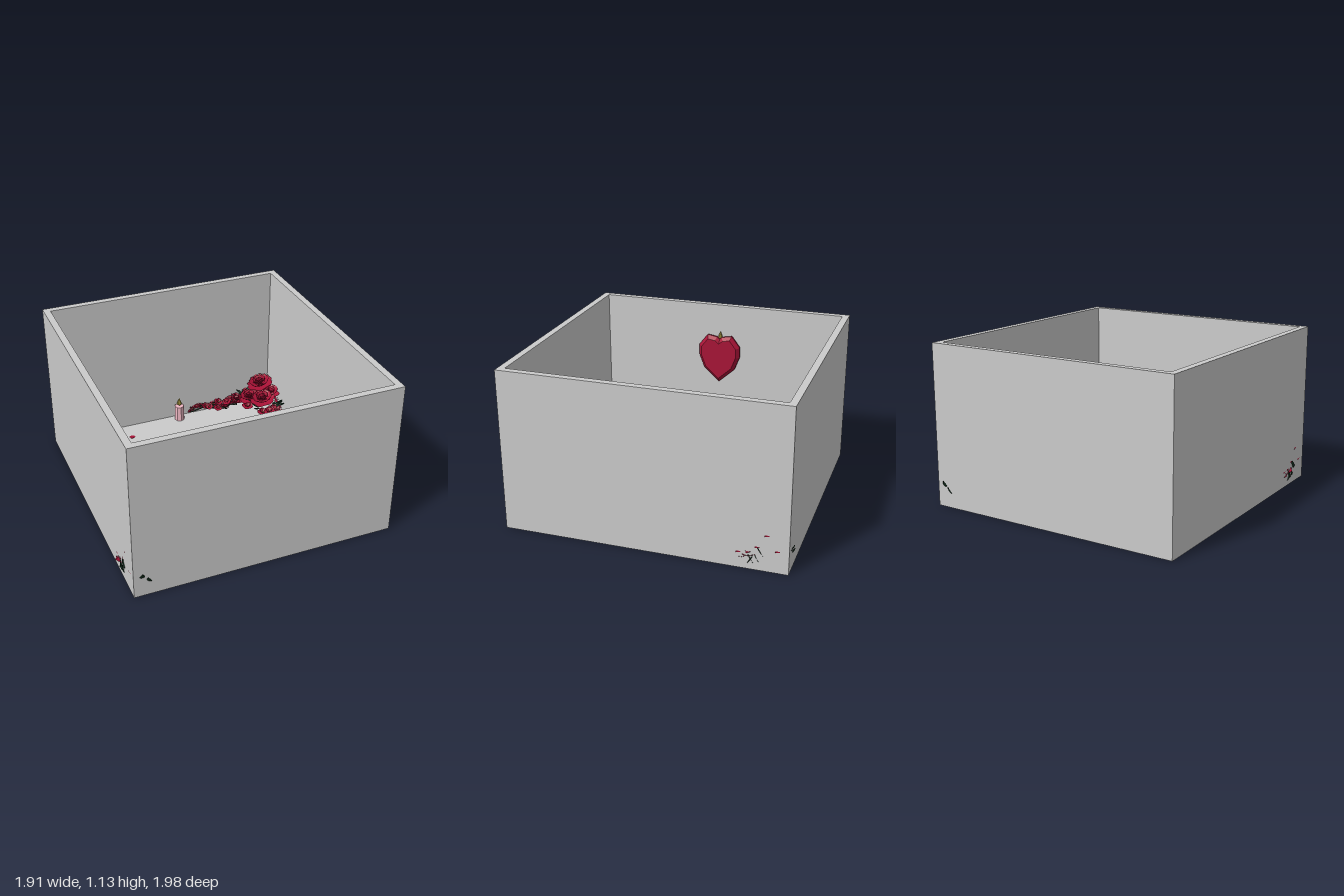
import * as THREE from 'three';
import { mergeGeometries } from 'three/addons/utils/BufferGeometryUtils.js';

const material = (color, extra = {}) => new THREE.MeshStandardMaterial({ color, ...extra });
const grey = material(0xcccccc);
const red = material(0xa81236, { side: THREE.DoubleSide, flatShading: true });
const green = material(0x14301f, { side: THREE.DoubleSide, flatShading: true });
const pink = material(0xf0b8c4, { flatShading: true });
const gold = material(0xb0a040, { flatShading: true });
const FLOOR = 0.02;

// Small seeded generator for natural variation
let seed = 7;
const rnd = (a = 0, b = 1) => {
  seed = (seed * 16807) % 2147483647;
  return a + (b - a) * (seed / 2147483647);
};

// Curved blade growing from the origin along +z, cupped upward; shared by petals and leaves
function blade(width, length, cup, tip) {
  const g = new THREE.PlaneGeometry(2, 1, 4, 4);
  const p = g.attributes.position;
  for (let i = 0; i < p.count; i++) {
    const u = p.getX(i), v = p.getY(i) + 0.5;
    const w = width * Math.sin(Math.PI * (0.1 + (tip - 0.1) * v));
    p.setXYZ(i, u * w, cup * (u * u * 0.5 * v + v * v * 0.6), v * length);
  }
  g.computeVertexNormals();
  return g;
}

// Rings of petals: [count, length, width, elevation angle]
function bloom(rings) {
  const parts = [];
  rings.forEach(([n, length, width, lift], r) => {
    for (let i = 0; i < n; i++) {
      const g = blade(width, length, 0.22 * length, 0.82);
      g.rotateX(-lift).translate(0, 0.05 * r, 0.04).rotateY((i / n) * Math.PI * 2 + r * 0.6);
      parts.push(g);
    }
  });
  return mergeGeometries(parts);
}

const roseGeo = bloom([[6, 1, 0.55, 0.05], [6, 0.88, 0.5, 0.4], [5, 0.7, 0.42, 0.75], [4, 0.5, 0.32, 1.1]]);
const blossomGeo = bloom([[5, 1, 0.5, 0.15], [5, 0.75, 0.42, 0.7]]);
const beadGeo = new THREE.IcosahedronGeometry(0.11, 0);
const leafGeo = blade(0.24, 1, 0.2, 1);
const petalGeo = blade(0.42, 1, 0.25, 0.92);

function add(parent, name, geo, mat, x = 0, y = 0, z = 0) {
  const m = new THREE.Mesh(geo, mat);
  m.name = name;
  m.position.set(x, y, z);
  parent.add(m);
  return m;
}

function flower(parent, name, geo, x, y, z, r, tiltX = 0, tiltZ = 0) {
  const g = new THREE.Group();
  g.name = name;
  add(g, 'petals', geo, red).rotation.y = rnd(0, 6);
  add(g, 'flowerCentre', beadGeo, gold, 0, 0.3, 0);
  g.position.set(x, y, z);
  g.rotation.set(tiltX, 0, tiltZ);
  g.scale.setScalar(r);
  parent.add(g);
}

function leaf(parent, x, y, z, size, yaw, lift) {
  const m = add(parent, 'leaf', leafGeo, green, x, y, z);
  m.rotation.set(-lift, yaw, 0, 'YXZ');
  m.scale.setScalar(size);
}

function cluster(name, roses, leafSpots) {
  const g = new THREE.Group();
  g.name = name;
  for (const [x, y, z, r, big] of roses)
    flower(g, big ? 'rose' : 'blossom', big ? roseGeo : blossomGeo, x, y, z, r, rnd(0, 0.3), rnd(0, 0.3));
  for (const [x, z] of leafSpots)
    for (let i = 0; i < 5; i++) leaf(g, x, rnd(0.04, 0.12), z, 0.1, rnd(0, 6.28), rnd(0, 0.6));
  return g;
}

// Vine with blossoms that thin out from the corner to the end
function garland(x0, z0, x1, z1) {
  const g = new THREE.Group();
  g.name = 'garland';
  const alongX = Math.abs(x1 - x0) > Math.abs(z1 - z0);
  for (let s = 0; s < 2; s++) {
    const pts = [];
    for (let i = 0; i <= 8; i++) {
      const t = i / 8, w = 0.03 * Math.sin(i * 1.7 + s * 3) * (1.2 - t);
      pts.push(new THREE.Vector3(x0 + (x1 - x0) * t + (alongX ? 0 : w), 0.06 + 0.02 * Math.cos(i + s),
        z0 + (z1 - z0) * t + (alongX ? w : 0)));
    }
    add(g, 'vine', new THREE.TubeGeometry(new THREE.CatmullRomCurve3(pts), 32, 0.006, 5), green);
  }
  for (let i = 0; i < 22; i++) {
    const t = i / 21, spread = 0.055 * (1 - 0.75 * t), off = rnd(-spread, spread);
    const x = x0 + (x1 - x0) * t + (alongX ? 0 : off), z = z0 + (z1 - z0) * t + (alongX ? off : 0);
    flower(g, 'blossom', blossomGeo, x, rnd(0.05, 0.12 - 0.04 * t), z, 0.046 - 0.024 * t, rnd(-0.5, 0.5), rnd(-0.5, 0.5));
    leaf(g, x, rnd(0.04, 0.08), z, 0.055 - 0.02 * t, rnd(0, 6.28), rnd(0, 0.5));
  }
  return g;
}

function candle(parent, x, y, z, r, h) {
  const g = new THREE.Group();
  g.name = 'candle';
  add(g, 'wax', new THREE.CylinderGeometry(r * 0.92, r, h, 8), pink, 0, h / 2, 0);
  const fr = Math.min(r * 0.8, 0.02);
  const flame = [[0, 0], [fr, 0.018], [fr * 0.7, 0.038], [0, 0.07]].map(p => new THREE.Vector2(...p));
  add(g, 'flame', new THREE.LatheGeometry(flame, 8), gold, 0, h, 0);
  g.position.set(x, y, z);
  parent.add(g);
}

// Bevelled heart hung on the left wall
function wallHeart() {
  const s = new THREE.Shape([[0, 0.56], [0.1, 0.65], [0.135, 0.74], [0.135, 0.81], [0.085, 0.875], [0.03, 0.865],
    [0, 0.84], [-0.03, 0.865], [-0.085, 0.875], [-0.135, 0.81], [-0.135, 0.74], [-0.1, 0.65]]
    .map(p => new THREE.Vector2(...p)));
  const geo = new THREE.ExtrudeGeometry(s, { depth: 0.015, bevelThickness: 0.028, bevelSize: 0.024, bevelSegments: 1 });
  geo.rotateY(Math.PI / 2);
  const m = new THREE.Mesh(geo, red);
  m.name = 'wallHeart';
  m.position.x = -0.845;
  return m;
}

export function createModel() {
  const model = new THREE.Group();

  // Open box: rectangular wall ring and floor
  const rect = (P, w, d) => new P([[-w, -d], [w, -d], [w, d], [-w, d]].map(p => new THREE.Vector2(...p)));
  const ring = rect(THREE.Shape, 0.92, 0.967);
  ring.holes.push(rect(THREE.Path, 0.872, 0.919));
  const walls = new THREE.ExtrudeGeometry(ring, { depth: 1.13, bevelEnabled: false });
  add(model, 'walls', walls.rotateX(-Math.PI / 2), grey);
  add(model, 'floor', new THREE.BoxGeometry(1.8, FLOOR, 1.88), grey, 0, FLOOR / 2, 0);

  // Opposite corners repeat by a half turn
  for (const turn of [0, Math.PI]) {
    const half = new THREE.Group();
    half.name = 'flowerDecoration';
    half.rotation.y = turn;
    model.add(half);

    half.add(cluster('largeCluster', [
      [0.77, 0.2, -0.83, 0.1, 1], [0.66, 0.12, -0.79, 0.085, 1], [0.73, 0.14, -0.69, 0.095, 1],
      [0.82, 0.16, -0.74, 0.075, 1], [0.68, 0.12, -0.87, 0.05], [0.6, 0.09, -0.84, 0.05], [0.62, 0.08, -0.74, 0.045],
      [0.7, 0.07, -0.62, 0.045], [0.79, 0.08, -0.61, 0.05], [0.82, 0.2, -0.87, 0.05],
      [0.9, 0.09, -0.71, 0.055], [0.89, 0.07, -0.66, 0.045]],
      [[0.78, -0.82], [0.7, -0.72], [0.65, -0.83], [0.8, -0.65]]));
    half.add(cluster('smallCluster', [
      [-0.78, 0.2, -0.84, 0.085, 1], [-0.65, 0.14, -0.78, 0.1, 1], [-0.79, 0.14, -0.73, 0.08, 1],
      [-0.68, 0.15, -0.87, 0.05], [-0.76, 0.08, -0.64, 0.05], [-0.83, 0.09, -0.64, 0.04],
      [-0.6, 0.08, -0.85, 0.05], [-0.72, 0.24, -0.81, 0.06], [-0.83, 0.2, -0.8, 0.045]],
      [[-0.76, -0.82], [-0.78, -0.74]]));
    half.add(garland(0.6, -0.86, 0.18, -0.895));
    half.add(garland(0.785, -0.56, 0.84, 0.01));

    // Leaves and petals poking through the corner walls
    for (const [x, y, z, yaw] of [[0.86, 0.12, -0.95, 3.1], [0.81, 0.08, -0.95, 2.7],
      [0.91, 0.04, -0.74, 0.4], [0.91, 0.05, -0.78, 0.2], [0.91, 0.1, -0.8, 0.5], [0.91, 0.03, -0.7, 2.8]])
      leaf(half, x, y, z, 0.075, yaw, 0.9);
    for (const [y, z] of [[0.23, -0.85], [0.14, -0.79], [0.13, -0.92], [0.09, -0.67]]) {
      const p = add(half, 'petal', petalGeo, red, 0.905, y, z);
      p.rotation.set(-0.3, 0.5, 0.9, 'YXZ');
      p.scale.setScalar(0.05);
    }
  }

  // Wall heart with its candle, and candles on the floor: x, y, z, radius, height
  model.add(wallHeart());
  for (const c of [[-0.855, 0.8, 0, 0.022, 0.06], [-0.84, FLOOR, -0.32, 0.04, 0.12], [-0.84, FLOOR, -0.22, 0.023, 0.09],
    [0.08, FLOOR, -0.87, 0.04, 0.12], [-0.47, FLOOR, 0.56, 0.052, 0.08], [-0.19, FLOOR, 0.85, 0.024, 0.13],
    [-0.5, FLOOR, -0.895, 0.024, 0.13]]) candle(model, ...c);

  // Fallen petals: x, z, length
  for (const [x, z, s] of [[-0.68, -0.44, 0.06], [-0.64, -0.35, 0.025], [-0.45, -0.45, 0.04], [-0.35, -0.74, 0.06],
    [-0.68, 0.1, 0.1], [-0.62, 0.19, 0.06], [-0.7, 0.21, 0.045], [-0.68, 0.27, 0.04], [-0.61, 0.25, 0.03],
    [-0.61, 0.42, 0.06], [-0.6, 0.51, 0.04], [-0.68, 0.56, 0.035], [-0.24, 0.08, 0.035], [-0.47, 0.33, 0.025],
    [-0.33, 0.55, 0.035], [-0.27, 0.8, 0.025], [0.24, -0.65, 0.04], [0.42, -0.52, 0.03], [0.53, -0.46, 0.025],
    [0.62, -0.59, 0.07], [0.65, -0.49, 0.05]]) {
    const p = add(model, 'fallenPetal', petalGeo, red, x, FLOOR + 0.003, z - s / 2);
    p.rotation.y = rnd(-0.5, 0.5);
    p.scale.setScalar(s);
  }
  return model;
}
